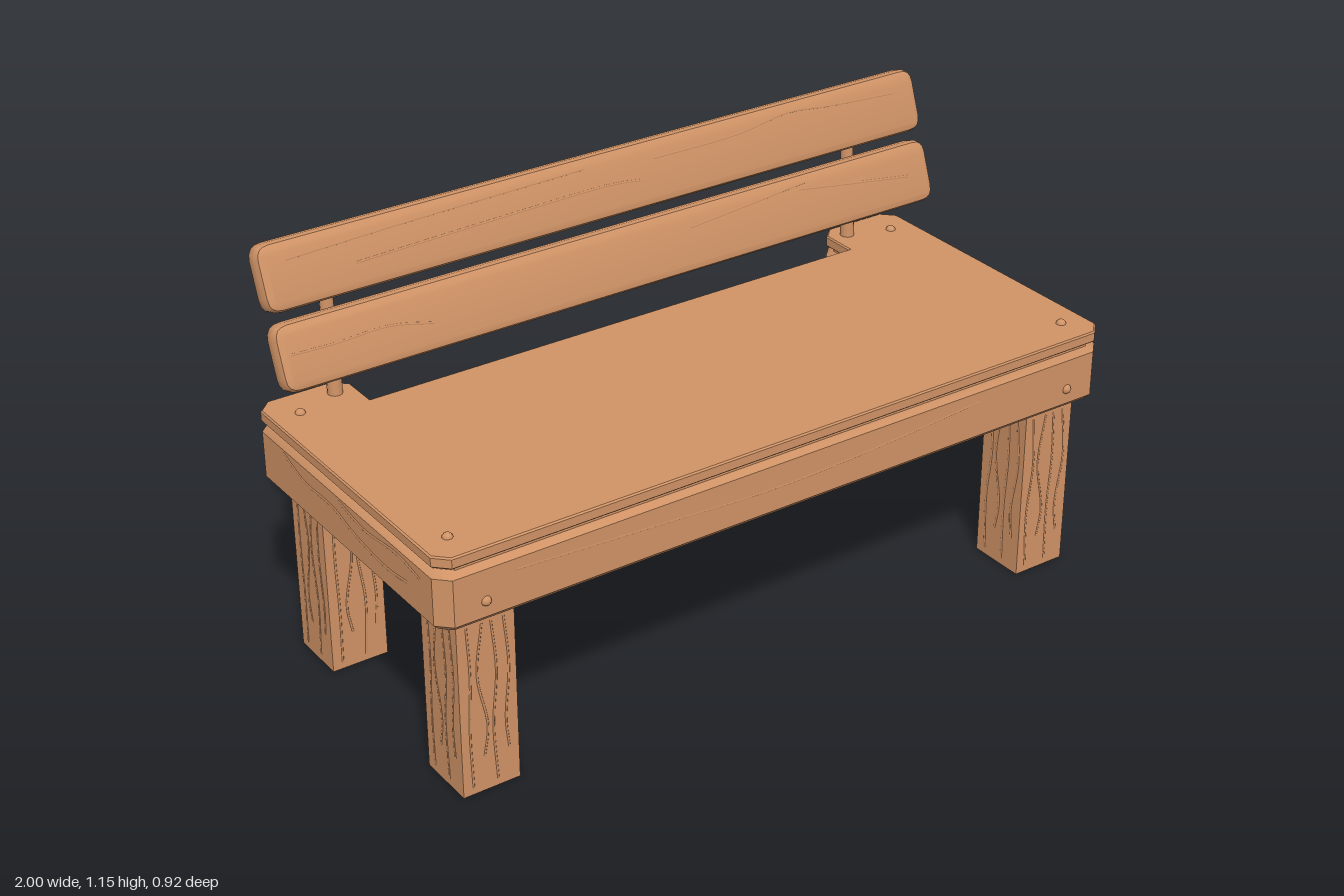
import * as THREE from 'three';
import { toCreasedNormals } from 'three/addons/utils/BufferGeometryUtils.js';

const wood = new THREE.MeshStandardMaterial({ color: 0xd09366 });
wood.name = 'warm wood';

function add(parent, name, geometry) {
  const mesh = new THREE.Mesh(geometry, wood);
  mesh.name = name;
  parent.add(mesh);
  return mesh;
}

// Bevelled slab whose outer size matches the given outline maker
function slab(outline, thickness, bevel, segments = 1) {
  const geo = new THREE.ExtrudeGeometry(outline, {
    depth: thickness - 2 * bevel, bevelEnabled: true, bevelThickness: bevel,
    bevelSize: bevel, bevelOffset: -bevel, bevelSegments: segments, curveSegments: 4,
  });
  geo.translate(0, 0, bevel);
  return toCreasedNormals(geo, 0.6);
}

// Seat plan: chamfered rectangle with a wide notch in the back (plan y is -z)
function seatPlan(inset = 0) {
  const w = 1 - inset, f = -0.448 + inset, b = 0.446 - inset, c = 0.035;
  const n = 0.75 + inset, d = 0.31 - inset;
  const half = [[w - c, f], [w, f + c], [w, b - c], [w - c, b], [n + c, b], [n, b - c], [n, d]];
  const mirrored = half.map(([x, y]) => [-x, y]).reverse();
  return new THREE.Shape([...half, ...mirrored].map(([x, y]) => new THREE.Vector2(x, y)));
}

function roundedRect(w, h, r) {
  const x = w / 2, y = h / 2, s = new THREE.Shape();
  s.moveTo(-x + r, -y);
  s.lineTo(x - r, -y).quadraticCurveTo(x, -y, x, -y + r);
  s.lineTo(x, y - r).quadraticCurveTo(x, y, x - r, y);
  s.lineTo(-x + r, y).quadraticCurveTo(-x, y, -x, y - r);
  s.lineTo(-x, -y + r).quadraticCurveTo(-x, -y, -x + r, -y);
  return s;
}

// Shallow grain line, mostly sunk in the surface; place maps 2D points to 3D
function grain(parent, points, place, radius = 0.006) {
  const curve = new THREE.CatmullRomCurve3(points.map(([u, v]) => place(u, v)));
  add(parent, 'woodGrain', new THREE.TubeGeometry(curve, points.length * 4, radius, 5));
}

// Domed bolt head facing along the given direction
function bolt(parent, position, direction, radius = 0.014) {
  const geo = new THREE.SphereGeometry(radius, 10, 5, 0, Math.PI * 2, 0, Math.PI / 2);
  const mesh = add(parent, 'boltHead', geo);
  mesh.position.set(...position);
  mesh.quaternion.setFromUnitVectors(new THREE.Vector3(0, 1, 0), new THREE.Vector3(...direction));
}

const V = (x, y, z) => new THREE.Vector3(x, y, z);

function makeSeat() {
  const seat = new THREE.Group();
  seat.name = 'seat';
  const layers = [
    ['seatFrame', 0, 0.495, 0.162, 0.018],
    ['seatGap', 0.015, 0.64, 0.04, 0.002],
    ['seatTop', 0, 0.667, 0.031, 0.004],
  ];
  for (const [name, inset, y, thickness, bevel] of layers) {
    const geo = slab(seatPlan(inset), thickness, bevel);
    geo.rotateX(-Math.PI / 2);
    add(seat, name, geo).position.y = y;
  }
  // Grain on the front, ends, back and underside
  grain(seat, [[-0.8, 0.61], [-0.4, 0.59], [-0.1, 0.575], [0.15, 0.58], [0.58, 0.61]], (x, y) => V(x, y, 0.444));
  for (const s of [-1, 1]) {
    const end = (z, y) => V(s * 0.996, y, z);
    grain(seat, [[0.36, 0.61], [0.26, 0.625], [0.1, 0.612], [-0.02, 0.63]], end);
    grain(seat, [[0.3, 0.57], [0.2, 0.56], [0.05, 0.575], [-0.05, 0.598], [-0.2, 0.6], [-0.3, 0.63]], end);
  }
  for (const y of [0.545, 0.575, 0.61]) {
    grain(seat, [[-0.6, y], [-0.25, y + 0.015], [0.1, y - 0.01], [0.6, y + 0.01]], (x, v) => V(x, v, -0.306));
  }
  for (let i = 0; i < 8; i++) {
    const z = -0.24 + i * 0.085, k = (i % 3 - 1) * 0.2;
    grain(seat, [[-0.65 + k, z], [-0.25, z + 0.02], [0.15, z - 0.015], [0.6 + k, z + 0.01]], (x, v) => V(x, 0.499, v));
  }
  // Bolts around the frame and top
  for (const s of [-1, 1]) {
    bolt(seat, [s * 0.88, 0.555, 0.444], [0, 0, 1]);
    bolt(seat, [s * 0.88, 0.555, -0.442], [0, 0, -1]);
    bolt(seat, [s * 0.752, 0.575, -0.37], [-s, 0, 0]);
    bolt(seat, [s * 0.925, 0.696, 0.362], [0, 1, 0]);
    bolt(seat, [s * 0.925, 0.696, -0.345], [0, 1, 0]);
  }
  return seat;
}

function makeLeg(x, z, seed) {
  const leg = new THREE.Group();
  leg.name = z > 0 ? 'frontLeg' : 'backLeg';
  const w = 0.157, d = 0.163, h = 0.51;
  add(leg, 'legPost', new THREE.BoxGeometry(w, h, d)).position.y = h / 2;
  // Wavy vertical grain on all four faces
  for (let i = 0; i < 4; i++) {
    const u = -0.05 + i * 0.034, k = Math.sin(seed * 3 + i * 2) * 0.012;
    const line = [[u, 0.02 + (i % 2) * 0.08], [u + k, 0.18], [u - k, 0.33], [u + k / 2, 0.47]];
    for (const s of [-1, 1]) {
      grain(leg, line, (a, y) => V(a, y, s * (d / 2 - 0.002)), 0.004);
      grain(leg, line, (a, y) => V(s * (w / 2 - 0.002), y, a), 0.004);
    }
  }
  leg.position.set(x, 0, z);
  return leg;
}

const TILT = -0.35;

function makeSlat(name, y, z, frontLines, backLines) {
  const slat = new THREE.Group();
  slat.name = name;
  const t = 0.066;
  const geo = slab(roundedRect(2, 0.172, 0.04), t, 0.02, 2);
  geo.translate(0, 0, -t / 2);
  add(slat, 'slatBoard', geo);
  for (const line of frontLines) grain(slat, line, (u, v) => V(u, v, t / 2 - 0.004));
  for (const line of backLines) grain(slat, line, (u, v) => V(u, v, -t / 2 + 0.004));
  for (const s of [-1, 1]) bolt(slat, [s * 0.92, 0, -t / 2 + 0.002], [0, 0, -1], 0.01);
  slat.position.set(0, y, z);
  slat.rotation.x = TILT;
  return slat;
}

function makeBackrest() {
  const back = new THREE.Group();
  back.name = 'backrest';
  back.add(makeSlat('upperSlat', 1.066, -0.372, [
    [[-0.93, 0.036], [-0.6, 0.046], [-0.08, 0.055]],
    [[-0.75, -0.017], [-0.3, -0.006], [0.0, -0.003], [0.08, -0.012]],
    [[0.13, 0.034], [0.4, 0.036], [0.57, 0.056], [0.7, 0.044], [0.92, 0.03]],
  ], []));
  back.add(makeSlat('lowerSlat', 0.88, -0.307, [
    [[-0.97, 0.008], [-0.85, 0.005], [-0.7, 0.008], [-0.58, -0.016]],
    [[0.2, 0.03], [0.4, 0.045], [0.58, 0.06]],
    [[0.56, 0.045], [0.7, 0.025], [0.92, -0.005]],
  ], [
    [[-0.75, 0.01], [-0.5, 0.02], [-0.25, 0]],
    [[0.3, 0.02], [0.5, 0], [0.7, 0.01]],
  ]));

  // Rail behind the upper slat, bolted at both ends
  const rail = new THREE.Group();
  rail.name = 'backRail';
  add(rail, 'railBar', new THREE.BoxGeometry(1.72, 0.064, 0.054));
  for (const s of [-1, 1]) bolt(rail, [s * 0.81, 0, -0.026], [0, 0, -1], 0.015);
  rail.position.set(0, 1.055, -0.424);
  rail.rotation.x = TILT;
  back.add(rail);

  // Slightly leaning round posts
  for (const s of [-1, 1]) {
    const post = add(back, 'backPost', new THREE.CylinderGeometry(0.017, 0.02, 0.37, 12));
    post.position.set(s * 0.805, 0.86, -0.397);
    post.rotation.x = -0.05;
  }
  return back;
}

export function createModel() {
  const bench = new THREE.Group();
  bench.name = 'bench';
  bench.add(makeSeat(), makeBackrest());
  let seed = 1;
  for (const x of [-0.863, 0.863]) {
    for (const z of [-0.319, 0.326]) bench.add(makeLeg(x, z, seed++));
  }
  return bench;
}
